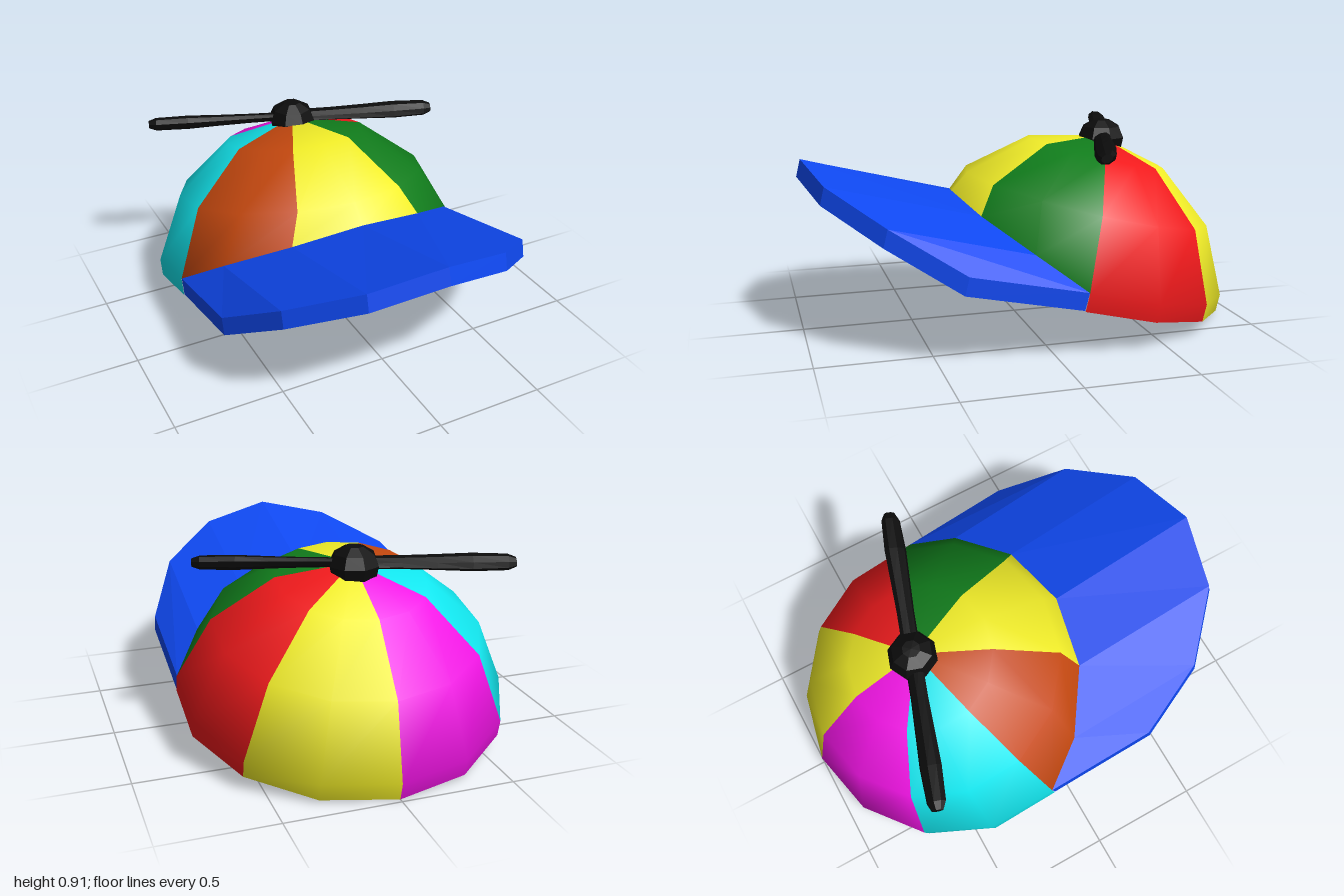
import * as THREE from 'three';

const TILT = Math.atan(0.242), COS = Math.cos(TILT), SIN = Math.sin(TILT);
const CENTRE = new THREE.Vector3(0, 0.255, -0.28);
const UP = new THREE.Vector3(0, COS, -SIN);
const SIDES = 14, BAND = 0.08;
const BLUE = 0x0f48f0, MAROON = 0x8a0f10, BLACK = 0x0c0c0c;
const PANELS = [0xf2ee28, 0xf01a1c, 0x117d1c, 0xf2ee28, 0xc4480f, 0x12e6ee, 0xf314e6];
// Crown profile from apex to brow: [radius, height] along the tilted axis
const PROFILE = [[0, 0.6], [0.33, 0.52], [0.595, 0.305], [0.74, 0], [0.74, -BAND]];

const mat = (color, flatShading = false) =>
  new THREE.MeshStandardMaterial({ color, flatShading, side: THREE.DoubleSide });

function mesh(name, geometry, material) {
  const m = new THREE.Mesh(geometry, material);
  m.name = name;
  return m;
}

// Mirror a half curve (centre outwards) into a full one running from +x to -x
function mirrored(half) {
  const left = half.slice().reverse().map(p => new THREE.Vector3(...p));
  const right = half.slice(1).map(([x, y, z]) => new THREE.Vector3(-x, y, z));
  return [...left, ...right];
}

// Brim outlines
const innerTop = mirrored([[0, 0.61, 0.3], [0.32, 0.555, 0.24], [0.58, 0.435, 0.07], [0.72, 0.296, -0.12]]);
const innerBottom = mirrored([[0, 0.518, 0.32], [0.32, 0.515, 0.26], [0.58, 0.39, 0.09], [0.72, 0.22, -0.1]]);
const outerTop = mirrored([[0, 0.79, 0.98], [0.32, 0.722, 0.91], [0.58, 0.588, 0.69], [0.72, 0.405, 0.39]]);
const outerBottom = outerTop.map(p => p.clone().addScaledVector(UP, -BAND));

// Point of the crown on meridian k (0 = back); the front rises to the brim
function crownPoint(k, row) {
  if (row === 3 && k > 4 && k < 10) return innerTop[k - 4].clone();
  const [r, h] = PROFILE[row], a = k * 2 * Math.PI / SIDES;
  const f = -r * Math.cos(a);
  return new THREE.Vector3(r * Math.sin(a), f * SIN + h * COS, f * COS - h * SIN).add(CENTRE);
}

// One coloured gore, two segments wide, with smooth ellipsoid normals
function gore(panel) {
  const pos = [], nor = [], index = [];
  const first = panel * 2;
  const rows = first >= 4 && first < 10 ? 4 : 5;
  for (let i = 0; i < rows; i++) {
    for (let j = 0; j < 3; j++) {
      const p = crownPoint(first + j, i);
      const v = p.clone().sub(CENTRE);
      const n = v.clone().addScaledVector(UP, 0.52 * v.dot(UP)).normalize();
      pos.push(p.x, p.y, p.z);
      nor.push(n.x, n.y, n.z);
      if (i < rows - 1 && j < 2) {
        const a = i * 3 + j, b = a + 3;
        if (i > 0) index.push(a, a + 1, b + 1);
        index.push(a, b + 1, b);
      }
    }
  }
  const g = new THREE.BufferGeometry();
  g.setAttribute('position', new THREE.Float32BufferAttribute(pos, 3));
  g.setAttribute('normal', new THREE.Float32BufferAttribute(nor, 3));
  g.setIndex(index);
  return g;
}

// Faceted surface made of strips between pairs of curves
function strips(pairs) {
  const pts = [];
  for (const [A, B] of pairs)
    for (let i = 0; i < A.length - 1; i++)
      pts.push(A[i], A[i + 1], B[i + 1], A[i], B[i + 1], B[i]);
  const g = new THREE.BufferGeometry().setFromPoints(pts);
  g.computeVertexNormals();
  return g;
}

// Propeller blade along +x: widening, pitched, with a rounded tip
function bladeGeometry() {
  const g = new THREE.CylinderGeometry(1, 1, 1, 8, 5);
  g.rotateZ(-Math.PI / 2);
  const stations = [[0.04, 0.04, 0.02], [0.2, 0.04, 0.022], [0.35, 0.045, 0.026],
    [0.5, 0.05, 0.032], [0.65, 0.043, 0.03], [0.685, 0.026, 0.018]];
  const p = g.attributes.position;
  for (let i = 0; i < p.count; i++) {
    const [x, width, thick] = stations[Math.round((p.getX(i) + 0.5) * 5)];
    const z = p.getZ(i) * width, y = p.getY(i) * thick, c = Math.cos(0.35), s = Math.sin(0.35);
    p.setXYZ(i, x, y * c - z * s, z * c + y * s);
  }
  g.computeVertexNormals();
  return g;
}

export function createModel() {
  const model = new THREE.Group();
  model.name = 'propellerCap';

  // Crown of seven gores
  const crown = new THREE.Group();
  crown.name = 'crown';
  PANELS.forEach((color, i) => crown.add(mesh('crownPanel' + (i + 1), gore(i), mat(color))));
  model.add(crown);

  // Brim: top, rim, inner wall and end caps in blue, underside in maroon
  const ends = [0, 6].map(i => {
    const cap = [[innerTop[i], outerTop[i]], [innerBottom[i], outerBottom[i]]];
    return i ? cap.map(c => c.reverse()) : cap;
  });
  const brim = new THREE.Group();
  brim.name = 'brim';
  brim.add(
    mesh('brimTop', strips([[innerTop, outerTop], [outerTop, outerBottom], [innerBottom, innerTop], ...ends]), mat(BLUE, true)),
    mesh('brimUnderside', strips([[outerBottom, innerBottom]]), mat(MAROON, true)));
  model.add(brim);

  // Propeller
  const propeller = new THREE.Group();
  propeller.name = 'propeller';
  const hubProfile = [[0.1, -0.085], [0.112, -0.03], [0.09, 0.02], [0.04, 0.05], [0, 0.052]]
    .map(([x, y]) => new THREE.Vector2(x, y));
  const hub = mesh('hub', new THREE.LatheGeometry(hubProfile, 8), mat(BLACK, true));
  hub.rotation.y = Math.PI / 8;
  propeller.add(hub);
  for (let i = 0; i < 2; i++) {
    const blade = mesh('blade', bladeGeometry(), mat(BLACK, true));
    blade.rotation.y = i * Math.PI;
    blade.position.y = -0.022;
    propeller.add(blade);
  }
  propeller.position.set(0, 0.863, -0.43);
  propeller.rotation.y = -0.325;
  model.add(propeller);

  return model;
}
